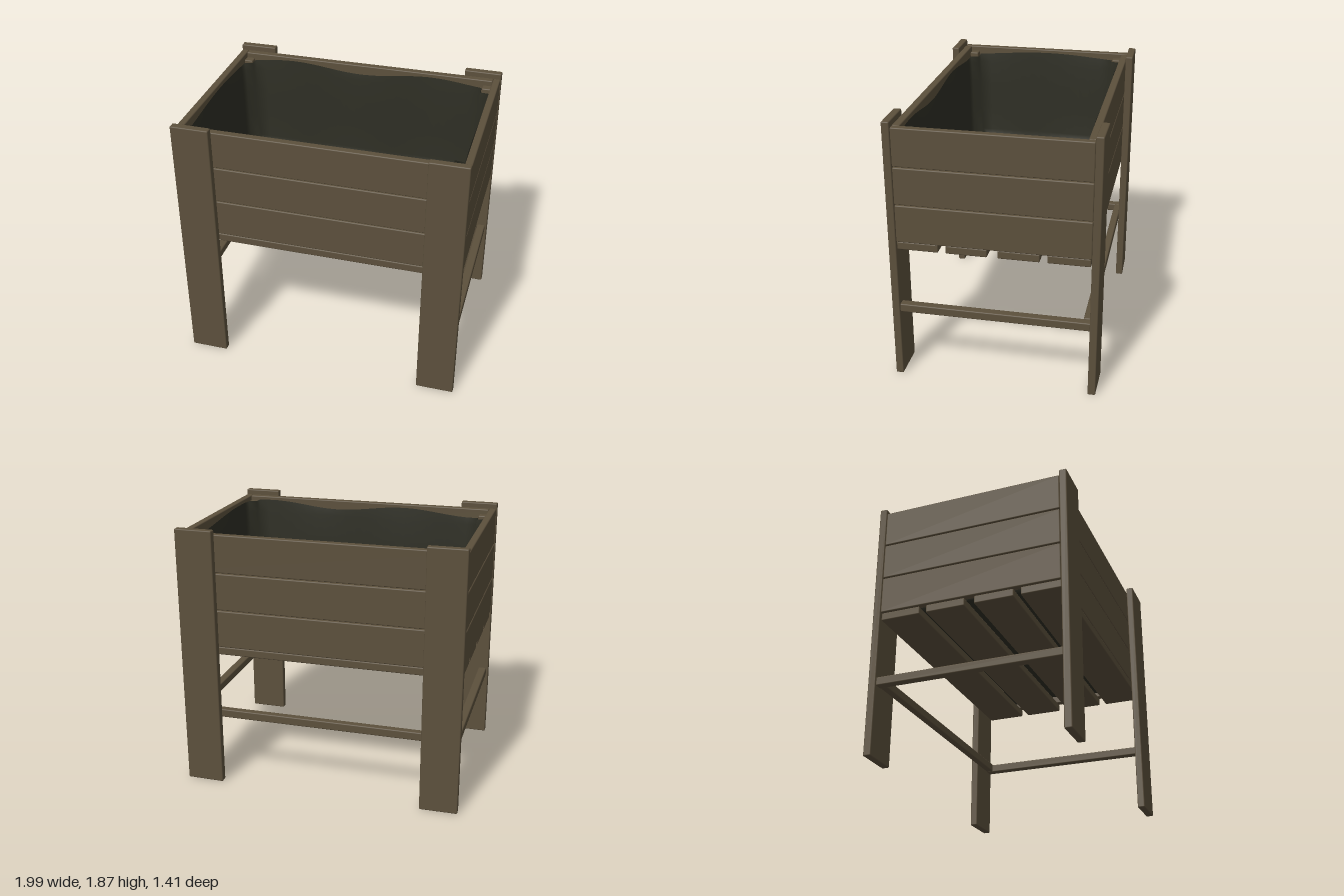
import * as THREE from 'three';
import { RoundedBoxGeometry } from 'three/addons/geometries/RoundedBoxGeometry.js';

export function createModel() {
  const model = new THREE.Group();
  model.name = 'raisedPlanter';
  const wood = new THREE.MeshStandardMaterial({ color: 0x5c503c });
  wood.name = 'brown wood';
  const fabric = new THREE.MeshStandardMaterial({ color: 0x2e2e24, side: THREE.DoubleSide });
  fabric.name = 'dark liner fabric';

  // Timber piece given by its extents, with slightly eased edges
  function timber(name, [x0, x1], [y0, y1], [z0, z1]) {
    const geo = new RoundedBoxGeometry(x1 - x0, y1 - y0, z1 - z0, 2, 0.008);
    const mesh = new THREE.Mesh(geo, wood);
    mesh.name = name;
    mesh.position.set((x0 + x1) / 2, (y0 + y1) / 2, (z0 + z1) / 2);
    model.add(mesh);
    return mesh;
  }
  const span = (side, a, b) => (side > 0 ? [a, b] : [-b, -a]);

  // Wide flat legs and inner corner posts
  for (const sx of [-1, 1]) {
    for (const sz of [-1, 1]) {
      const leg = timber(sz > 0 ? 'frontLeg' : 'backLeg', span(sx, 0.728, 0.995), [0, 1.872], span(sz, 0.652, 0.705));
      if (sz < 0) leg.rotation.y = -sx * 0.012;
      timber('cornerPost', span(sx, 0.873, 0.938), [1.03, 1.8], span(sz, 0.535, 0.598));
    }
  }

  // Three courses of wall boards
  const courses = [[1.032, 1.297], [1.303, 1.563], [1.569, 1.835]];
  for (const course of courses) {
    for (const s of [-1, 1]) {
      timber(s > 0 ? 'frontBoard' : 'backBoard', [-0.94, 0.94], course, span(s, 0.6, 0.652));
      timber('sideBoard', span(s, 0.94, 0.99), course, [-0.65, 0.65]);
    }
  }

  // Floor slats
  for (const z of [[0.37, 0.65], [0.04, 0.32], [-0.31, -0.03], [-0.645, -0.36]]) {
    timber('floorSlat', [-0.98, 0.98], [0.973, 1.03], z);
  }

  // Lower rails: both ends and the back
  for (const s of [-1, 1]) timber('sideRail', span(s, 0.92, 0.98), [0.492, 0.552], [-0.655, 0.655]);
  timber('backRail', [-0.92, 0.92], [0.495, 0.555], [-0.652, -0.6]);

  // Liner outline: a rectangle notched around each corner post
  const X = 0.932, Z = 0.592, PX = 0.866, PZ = 0.528;
  const corners = [
    [PX, Z], [PX, PZ], [X, PZ], [X, -PZ], [PX, -PZ], [PX, -Z],
    [-PX, -Z], [-PX, -PZ], [-X, -PZ], [-X, PZ], [-PX, PZ], [-PX, Z],
  ];
  const outline = [];
  corners.forEach(([ax, az], i) => {
    const [bx, bz] = corners[(i + 1) % corners.length];
    const n = Math.max(1, Math.round(Math.hypot(bx - ax, bz - az) / 0.08));
    for (let k = 0; k < n; k++) outline.push([ax + (bx - ax) * k / n, az + (bz - az) * k / n]);
  });

  // Liner walls: rings going down, with a wavy top edge and soft folds
  const levels = [1.79, 1.72, 1.55, 1.35, 1.15, 1.07, 1.05];
  const insets = [0, 0.006, 0.012, 0.014, 0.018, 0.03, 0.06];
  const pos = [], index = [], count = outline.length;
  levels.forEach((y, r) => {
    outline.forEach(([x, z]) => {
      const fold = insets[r] * (1 + 0.4 * Math.sin(x * 9 + z * 7));
      const wave = r === 0 ? 0.022 * Math.sin(x * 6 + z * 4 + 1) : 0;
      pos.push(x * (1 - fold), y + wave, z * (1 - fold * 1.5));
    });
  });
  for (let r = 0; r < levels.length - 1; r++) {
    for (let i = 0; i < count; i++) {
      const a = r * count + i, b = r * count + (i + 1) % count;
      index.push(a, b, a + count, b, b + count, a + count);
    }
  }
  // Liner floor
  const last = (levels.length - 1) * count;
  pos.push(0, 1.045, 0);
  for (let i = 0; i < count; i++) index.push(last + i, last + (i + 1) % count, levels.length * count);

  const linerGeo = new THREE.BufferGeometry();
  linerGeo.setAttribute('position', new THREE.Float32BufferAttribute(pos, 3));
  linerGeo.setIndex(index);
  linerGeo.computeVertexNormals();
  const liner = new THREE.Mesh(linerGeo, fabric);
  liner.name = 'liner';
  model.add(liner);

  return model;
}
